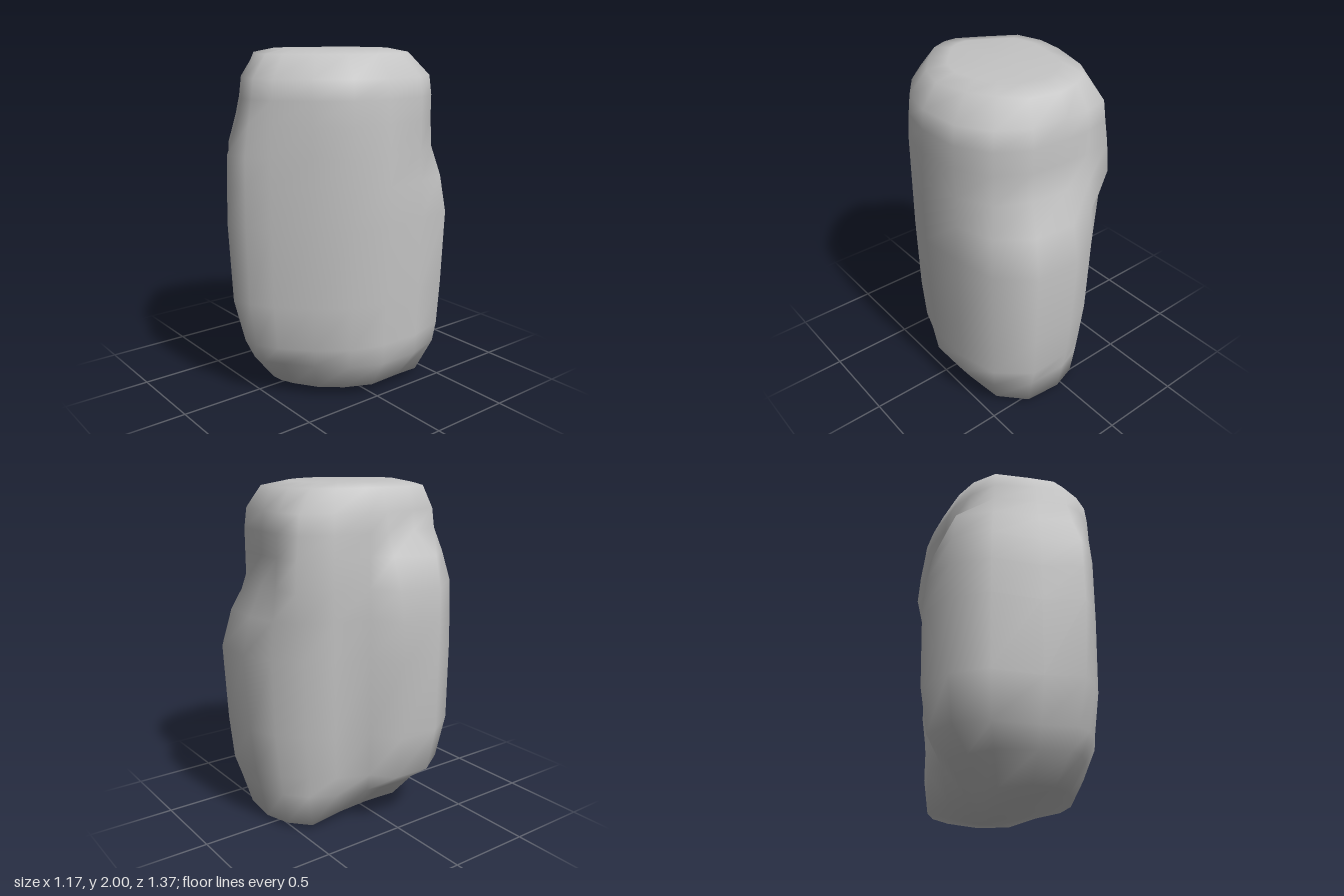
import * as THREE from 'three';
import { mergeVertices } from 'three/addons/utils/BufferGeometryUtils.js';

// Column directions in degrees, from +x towards +z
const ANGLES = [0, 22, 45, 67, 80, 90, 109, 138, 160, 184, 199, 225, 243, 259, 275, 296, 315, 335];

// Radii of the rock along each direction, from the base up
const FOOT = [.45, .41, .39, .39, .40, .40, .39, .29, .22, .205, .22, .31, .47, .53, .57, .61, .57, .49];
const HEEL = [.545, .50, .47, .49, .53, .53, .47, .44, .40, .37, .37, .43, .50, .56, .61, .67, .67, .60];
const LOWER = [.55, .53, .52, .55, .585, .59, .51, .55, .56, .52, .42, .45, .49, .575, .635, .71, .69, .605];
const WAIST = [.565, .55, .54, .585, .63, .66, .555, .605, .61, .57, .43, .475, .53, .605, .665, .735, .705, .61];
const BELLY = [.585, .56, .545, .595, .645, .685, .56, .61, .615, .585, .425, .475, .54, .622, .69, .755, .72, .615];
const CHEST = [.58, .56, .545, .595, .64, .675, .555, .60, .61, .53, .41, .485, .61, .58, .565, .60, .625, .60];
const LEDGE = [.57, .56, .545, .58, .61, .61, .53, .55, .58, .46, .40, .48, .595, .565, .557, .60, .615, .60];
const SHOULDER = [.56, .55, .54, .575, .585, .575, .515, .50, .44, .41, .40, .475, .575, .56, .555, .60, .615, .60];
const CROWN = [.46, .44, .425, .46, .475, .47, .42, .43, .39, .355, .35, .40, .44, .465, .49, .50, .47, .46];

const mix = (a, b, t) => a.map((r, i) => THREE.MathUtils.lerp(r, b[i], t));

function ring(y, radii) {
  return radii.map((r, i) => {
    const a = THREE.MathUtils.degToRad(ANGLES[i]);
    return new THREE.Vector3(r * Math.cos(a), y, r * Math.sin(a));
  });
}

// Copy of a ring drawn in towards a centre (cx, cz) at a new height
function shrink(points, y, scale, cx, cz) {
  return points.map((p) => new THREE.Vector3(cx + (p.x - cx) * scale, y, cz + (p.z - cz) * scale));
}

// Skin over the rings; the first and last ring are single points
function loft(rings) {
  const n = ANGLES.length;
  const index = [];
  for (let k = 0; k < rings.length - 1; k++) {
    for (let i = 0; i < n; i++) {
      const a = k * n + i, b = k * n + (i + 1) % n, c = a + n, d = b + n;
      if (k > 0) index.push(a, c, b);
      if (k < rings.length - 2) index.push(b, c, d);
    }
  }
  const geometry = new THREE.BufferGeometry().setFromPoints(rings.flat());
  geometry.setIndex(index);
  const merged = mergeVertices(geometry, 1e-4);
  merged.computeVertexNormals();
  return merged;
}

export function createModel() {
  const group = new THREE.Group();
  group.name = 'boulder';
  const stone = new THREE.MeshStandardMaterial({ color: 0xc4c4c4 });
  stone.name = 'grey stone';

  // The foot dips towards the back
  const foot = ring(0.055, FOOT);
  foot.forEach((p) => { if (p.z < -0.3) p.y = 0.025; });
  const shoulder = ring(1.74, SHOULDER);
  const crown = ring(1.975, CROWN);
  const rings = [
    // Underside, lowest towards the back
    shrink(foot, 0, 0, 0.13, -0.3),
    shrink(foot, 0, 0.28, 0.13, -0.3),
    // Body with a ledge on one side and a bulge at the back
    foot,
    ring(0.22, HEEL),
    ring(0.34, LOWER),
    ring(0.6, WAIST),
    ring(1.05, BELLY),
    ring(1.27, mix(BELLY, CHEST, 0.4)),
    ring(1.44, CHEST),
    ring(1.61, LEDGE),
    shoulder,
    // Rounded crown
    shrink(shoulder, 1.85, 0.975, 0.05, 0),
    crown,
    shrink(crown, 2, 0.72, 0.04, 0),
    shrink(crown, 2, 0, 0.04, 0),
  ];

  const rock = new THREE.Mesh(loft(rings), stone);
  rock.name = 'rock';
  group.add(rock);
  return group;
}
